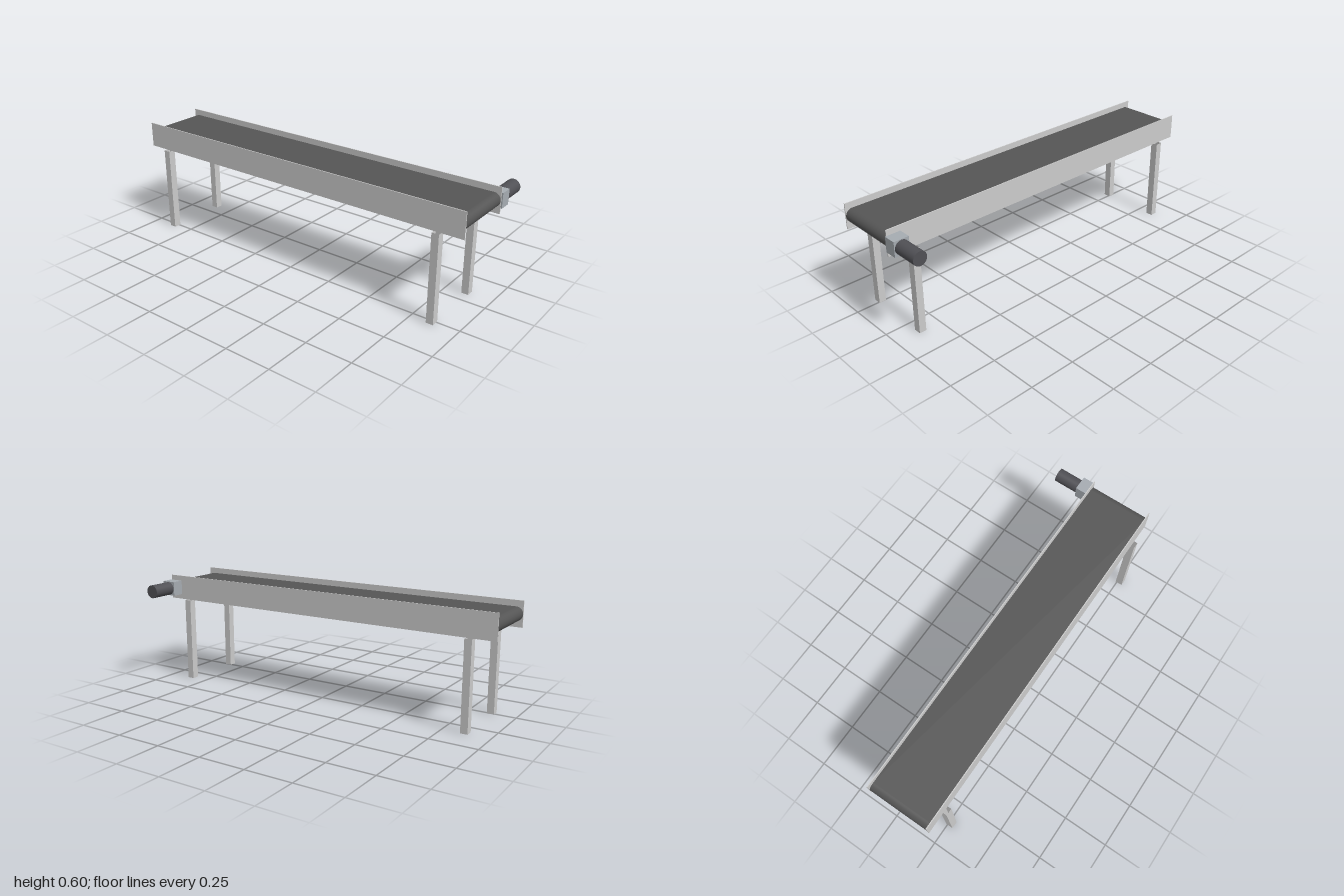
import * as THREE from 'three';

const material = (color, side = THREE.FrontSide) => new THREE.MeshStandardMaterial({ color, side });

export function createModel() {
  const model = new THREE.Group();
  model.name = 'conveyor';
  const frameMat = material(0xcccccc);
  const tubeMat = material(0xcccccc, THREE.DoubleSide);
  const beltMat = material(0x555555);
  const gearboxMat = material(0xa6acb2);
  const motorMat = material(0x505055);

  const add = (name, geometry, mat, x, y, z) => {
    const mesh = new THREE.Mesh(geometry, mat);
    mesh.name = name;
    mesh.position.set(x, y, z);
    model.add(mesh);
    return mesh;
  };

  const midX = -0.004, midZ = 0.09, axisY = 0.532;

  // Belt loop: straight runs joined by half-round ends
  const r = 0.0365, half = 0.995 - r, beltWidth = 0.333;
  const loop = new THREE.Shape();
  loop.moveTo(-half, -r);
  loop.lineTo(half, -r);
  loop.absarc(half, 0, r, -Math.PI / 2, Math.PI / 2, false);
  loop.lineTo(-half, r);
  loop.absarc(-half, 0, r, Math.PI / 2, Math.PI * 1.5, false);
  const belt = new THREE.ExtrudeGeometry(loop, { depth: beltWidth, bevelEnabled: false, curveSegments: 24 });
  // Radial normals keep the rounded ends smooth
  const pos = belt.attributes.position, nor = belt.attributes.normal;
  for (let i = 0; i < pos.count; i++) {
    if (Math.abs(nor.getZ(i)) > 0.5) continue;
    const x = pos.getX(i), y = pos.getY(i);
    const dx = x - THREE.MathUtils.clamp(x, -half, half);
    nor.setXYZ(i, dx / r, y / r, 0);
  }
  add('belt', belt, beltMat, midX, axisY, midZ - beltWidth / 2);

  // Side rails and the open square-tube legs below them
  const leg = new THREE.CylinderGeometry(Math.SQRT1_2, Math.SQRT1_2, 1, 4, 1, true)
    .rotateY(Math.PI / 4).scale(0.038, 0.465, 0.04).toNonIndexed();
  leg.computeVertexNormals();
  for (const [end, s] of [['front', 1], ['back', -1]]) {
    add(end + 'Rail', new THREE.BoxGeometry(1.991, 0.135, 0.005), frameMat, midX, 0.5325, midZ + s * 0.17);
    for (const [side, t] of [['Left', 1], ['Right', -1]]) {
      add(end + side + 'Leg', leg, tubeMat, midX + t * 0.862, 0.2325, midZ + s * 0.1725);
    }
  }

  // Drive unit on the back rail
  add('gearbox', new THREE.BoxGeometry(0.08, 0.079, 0.066), gearboxMat, 0.958, axisY, -0.115);
  add('motor', new THREE.CylinderGeometry(0.0365, 0.0365, 0.134, 32).rotateX(Math.PI / 2),
    motorMat, 0.958, axisY, -0.215);

  return model;
}
